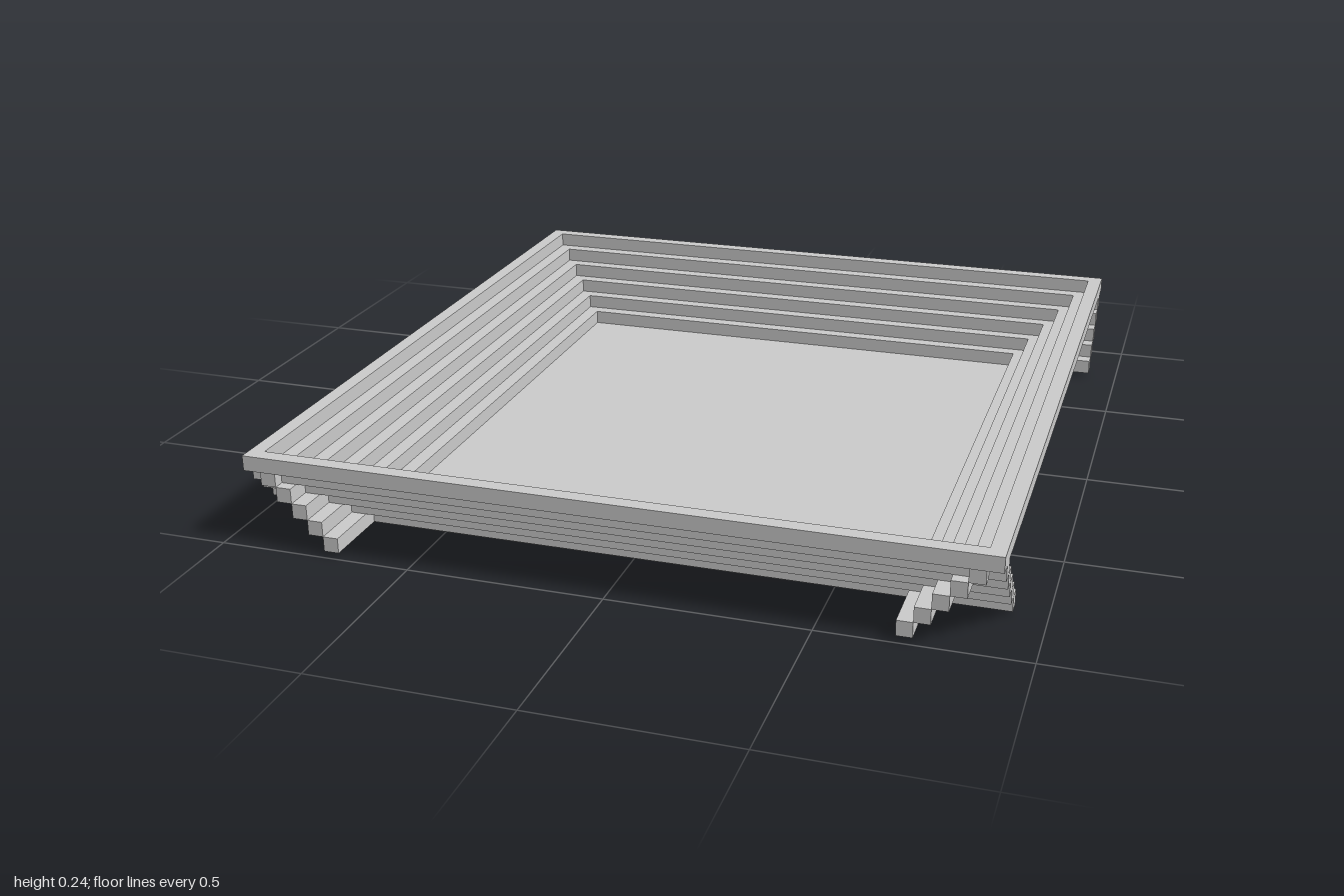
import * as THREE from 'three';

export function createModel() {
  const group = new THREE.Group();
  group.name = 'steppedTray';
  const material = new THREE.MeshStandardMaterial({ color: 0xcccccc, flatShading: true });

  function box(name, w, h, d, x, y, z) {
    const mesh = new THREE.Mesh(new THREE.BoxGeometry(w, h, d), material);
    mesh.name = name;
    mesh.position.set(x, y, z);
    group.add(mesh);
  }

  const floorH = 0.012, layers = 6, slat = 0.0388;
  const halfX = 0.92, halfZ = 1;

  // Thin floor panel under the lowest slats
  box('floorPanel', 1.415, floorH, 1.57, 0, floorH / 2, 0);

  // Stacked slat frames, each one slat wider than the one below
  for (let i = 0; i < layers; i++) {
    const inset = (layers - 1 - i) * slat + slat / 2;
    const top = i === layers - 1;
    const y = floorH + (i + 0.5) * slat;
    for (const s of [-1, 1]) {
      // Front and back slats run the full width, crossing the side slats
      box(s > 0 ? 'frontSlat' : 'backSlat', halfX * 2, slat, slat, 0, y, s * (halfZ - inset));
      // Side slats: the top pair butts between the rim slats, the others overhang
      const length = top ? (halfZ - slat) * 2 : 1.98;
      box(s > 0 ? 'leftSlat' : 'rightSlat', slat, slat, length, s * (halfX - inset), y, 0);
    }
  }
  return group;
}
